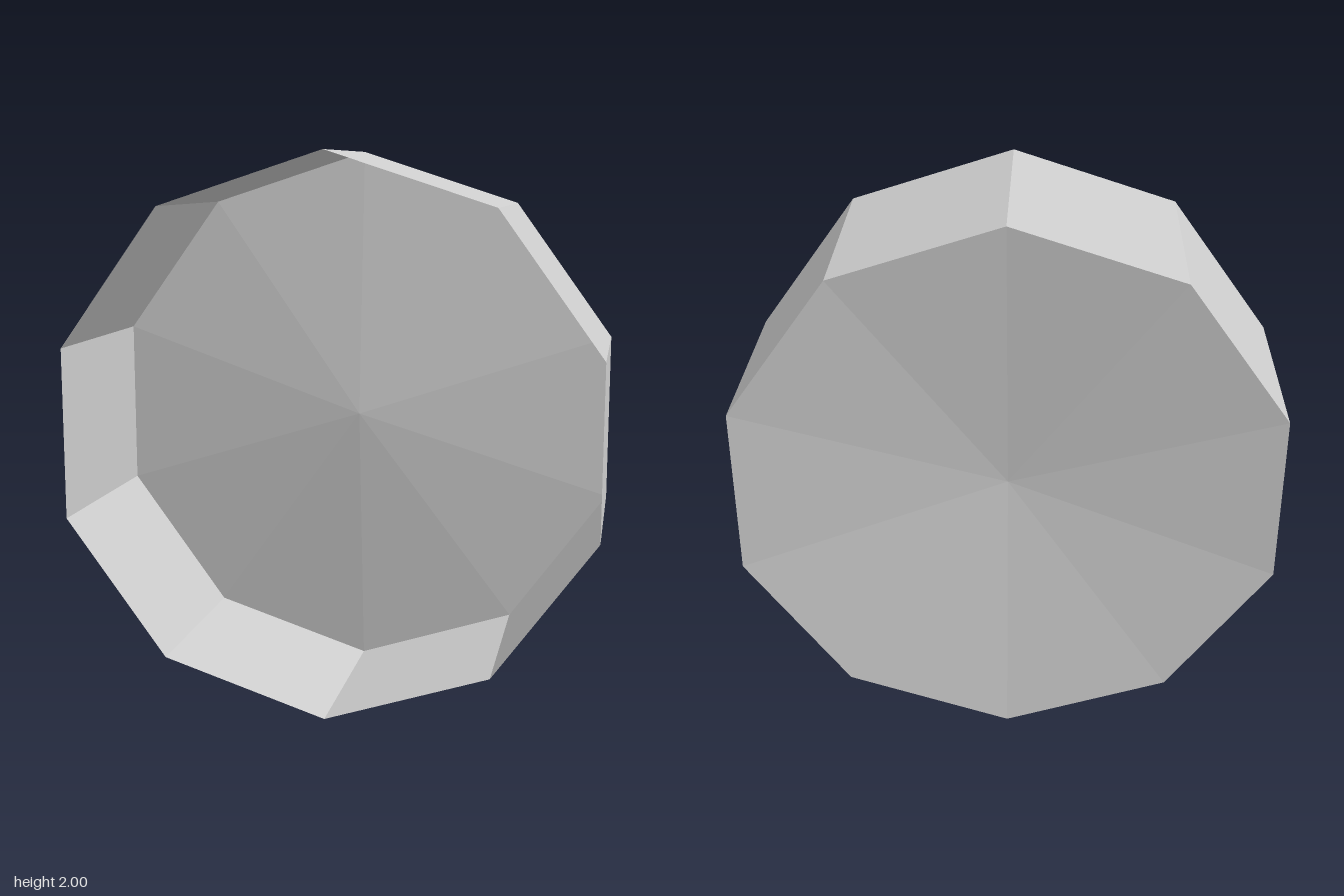
import * as THREE from 'three';

const SIDES = 10, RADIUS = 1, DEPTH = 0.75, DISH = 0.105, TILT = 0.006;

export function createModel() {
  const group = new THREE.Group();
  group.name = 'decagonalPan';
  const grey = new THREE.MeshStandardMaterial({
    name: 'light grey', color: 0xcccccc, side: THREE.DoubleSide, flatShading: true,
  });

  // Turns a y-axis shape to face +z and leans it very slightly sideways
  function addPart(name, geometry, z) {
    geometry.rotateX(Math.PI / 2).translate(0, RADIUS, z);
    const p = geometry.attributes.position;
    for (let i = 0; i < p.count; i++) p.setZ(i, p.getZ(i) - TILT * p.getX(i));
    geometry.computeVertexNormals();
    const mesh = new THREE.Mesh(geometry, grey);
    mesh.name = name;
    group.add(mesh);
  }

  // Thin ten-sided wall, open at the front
  addPart('sideWall', new THREE.CylinderGeometry(RADIUS, RADIUS, DEPTH, SIDES, 1, true), 0);

  // Back panel: a shallow cone pushed inwards from the rear rim
  addPart('backPanel', new THREE.ConeGeometry(RADIUS, DISH, SIDES, 1, true), -DEPTH / 2 + DISH / 2);

  return group;
}
